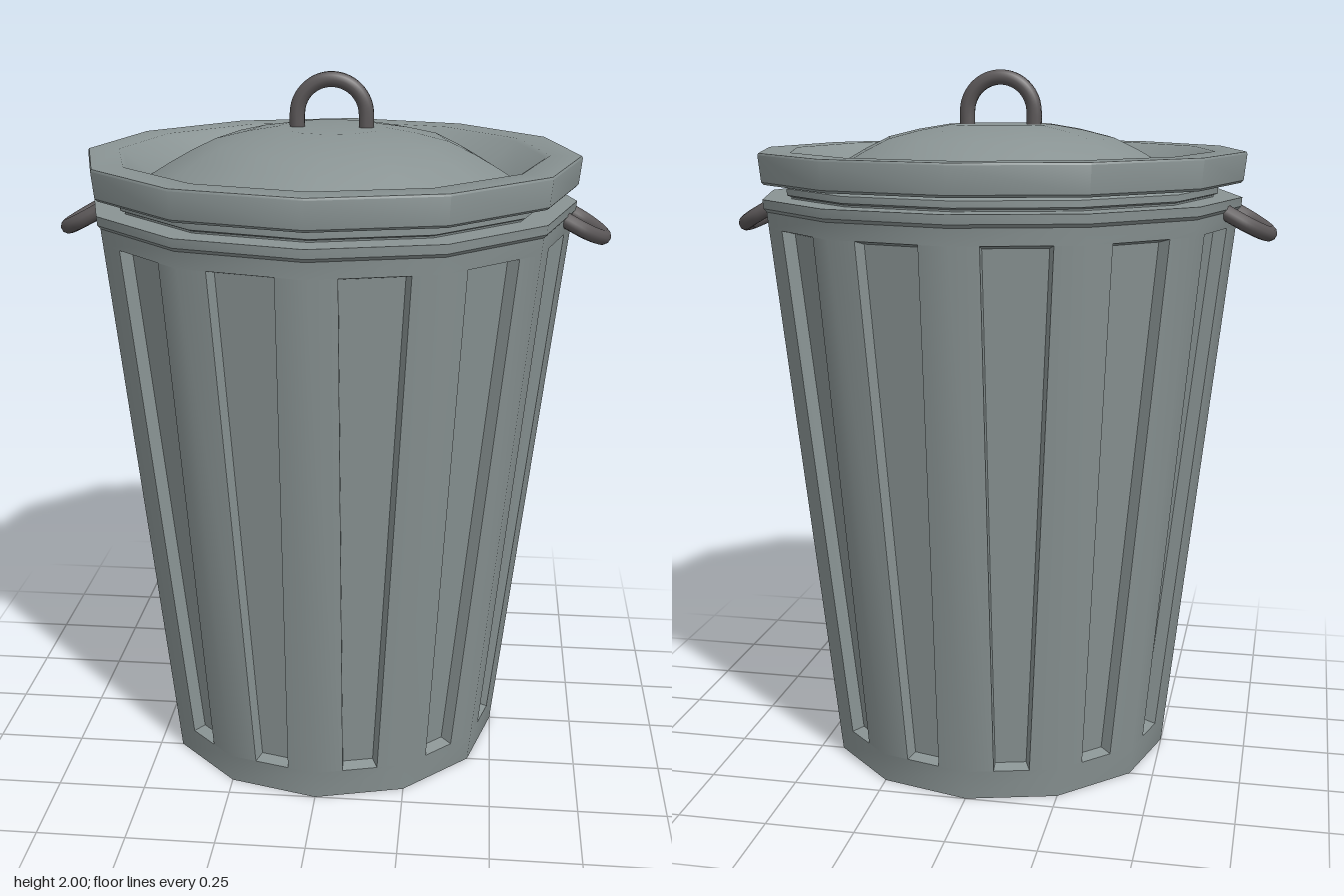
import * as THREE from 'three';
import { toCreasedNormals } from 'three/addons/utils/BufferGeometryUtils.js';

const SIDES = 12;
const CREASE = 0.6;

export function createModel() {
  const steel = new THREE.MeshStandardMaterial({ name: 'greySteel', color: 0x899393 });
  const iron = new THREE.MeshStandardMaterial({ name: 'darkIron', color: 0x5b5758 });
  const group = new THREE.Group();
  group.name = 'trashCan';

  const add = (name, geometry, material) => {
    const mesh = new THREE.Mesh(geometry, material);
    mesh.name = name;
    group.add(mesh);
    return mesh;
  };

  // Twelve-sided turned part from [radius, height] pairs
  const turned = (profile) => toCreasedNormals(
    new THREE.LatheGeometry(profile.map(([r, y]) => new THREE.Vector2(r, y)), SIDES), CREASE);

  add('body', bodyGeometry(), steel);
  add('base', turned([[0, 0], [0.497, 0], [0.5, 0.006]]), steel);
  add('bodyRim', turned([[0.679, 1.615], [0.688, 1.625], [0.69, 1.65], [0.6, 1.65], [0.59, 1.6]]), steel);
  add('lidNeck', turned([[0, 1.6], [0.6, 1.6], [0.61, 1.655], [0.622, 1.66], [0.622, 1.678], [0.6, 1.692]]), steel);

  // Lid with a raised rim, a sunken channel and a shallow dome
  add('lid', turned([
    [0.59, 1.69], [0.685, 1.69], [0.692, 1.697], [0.7, 1.77], [0.697, 1.776],
    [0.61, 1.776], [0.597, 1.769], [0.52, 1.705], [0.46, 1.742], [0.4, 1.776],
    [0.33, 1.81], [0.24, 1.832], [0.15, 1.847], [0, 1.847],
  ]), steel);

  // Lid handle: an upright arch
  add('lidHandle', archGeometry(0.097, 0.06), iron).position.set(0, 1.881, 0);

  // Side handles: the same arch tipped outward and down
  for (const side of [1, -1]) {
    const pivot = new THREE.Group();
    pivot.name = side > 0 ? 'leftHandle' : 'rightHandle';
    const arch = add('sideHandleArch', archGeometry(0.095, 0.06), iron);
    arch.rotation.y = Math.PI / 2;
    pivot.add(arch);
    pivot.position.set(side * 0.685, 1.597, -0.008);
    pivot.rotation.z = -side * (Math.PI / 2 + 0.5);
    group.add(pivot);
  }
  return group;
}

// Round bar bent into an arch with straight legs of the given length
function archGeometry(radius, leg) {
  const points = [new THREE.Vector3(radius, -leg, 0), new THREE.Vector3(radius, -leg / 2, 0)];
  for (let i = 0; i <= 12; i++) {
    const a = Math.PI * i / 12;
    points.push(new THREE.Vector3(radius * Math.cos(a), radius * Math.sin(a), 0));
  }
  points.push(new THREE.Vector3(-radius, -leg / 2, 0), new THREE.Vector3(-radius, -leg, 0));
  return new THREE.TubeGeometry(new THREE.CatmullRomCurve3(points), 48, 0.022, 10);
}

// Tapered twelve-sided wall with one recessed panel on each side
function bodyGeometry() {
  const positions = [];
  const top = 1.62, low = 0.085, high = 1.57, depth = 0.035;

  for (let i = 0; i < SIDES; i++) {
    const a0 = i * Math.PI * 2 / SIDES, a1 = (i + 1) * Math.PI * 2 / SIDES, mid = (a0 + a1) / 2;
    // Point on this side: t runs across it, d is the depth of the recess
    const at = (t, y, d = 0) => {
      const r = 0.5 + 0.18 * y / top;
      const x = r * THREE.MathUtils.lerp(Math.sin(a0), Math.sin(a1), t);
      const z = r * THREE.MathUtils.lerp(Math.cos(a0), Math.cos(a1), t);
      return [x - d * Math.sin(mid), y, z - d * Math.cos(mid)];
    };
    const quad = (a, b, c, d) => positions.push(...a, ...b, ...c, ...a, ...c, ...d);

    const frame = [at(0, low), at(1, low), at(1, high), at(0, high)];
    const edge = [at(0.31, low), at(0.69, low), at(0.765, high), at(0.235, high)];
    const floor = [
      at(0.335, low + 0.01, depth), at(0.665, low + 0.01, depth),
      at(0.745, high - 0.01, depth), at(0.255, high - 0.01, depth),
    ];
    quad(at(0, 0), at(1, 0), frame[1], frame[0]);
    quad(frame[3], frame[2], at(1, top), at(0, top));
    for (let k = 0; k < 4; k++) {
      const n = (k + 1) % 4;
      quad(frame[k], frame[n], edge[n], edge[k]);
      quad(edge[k], edge[n], floor[n], floor[k]);
    }
    quad(...floor);
  }
  const geometry = new THREE.BufferGeometry();
  geometry.setAttribute('position', new THREE.Float32BufferAttribute(positions, 3));
  return toCreasedNormals(geometry, CREASE);
}
